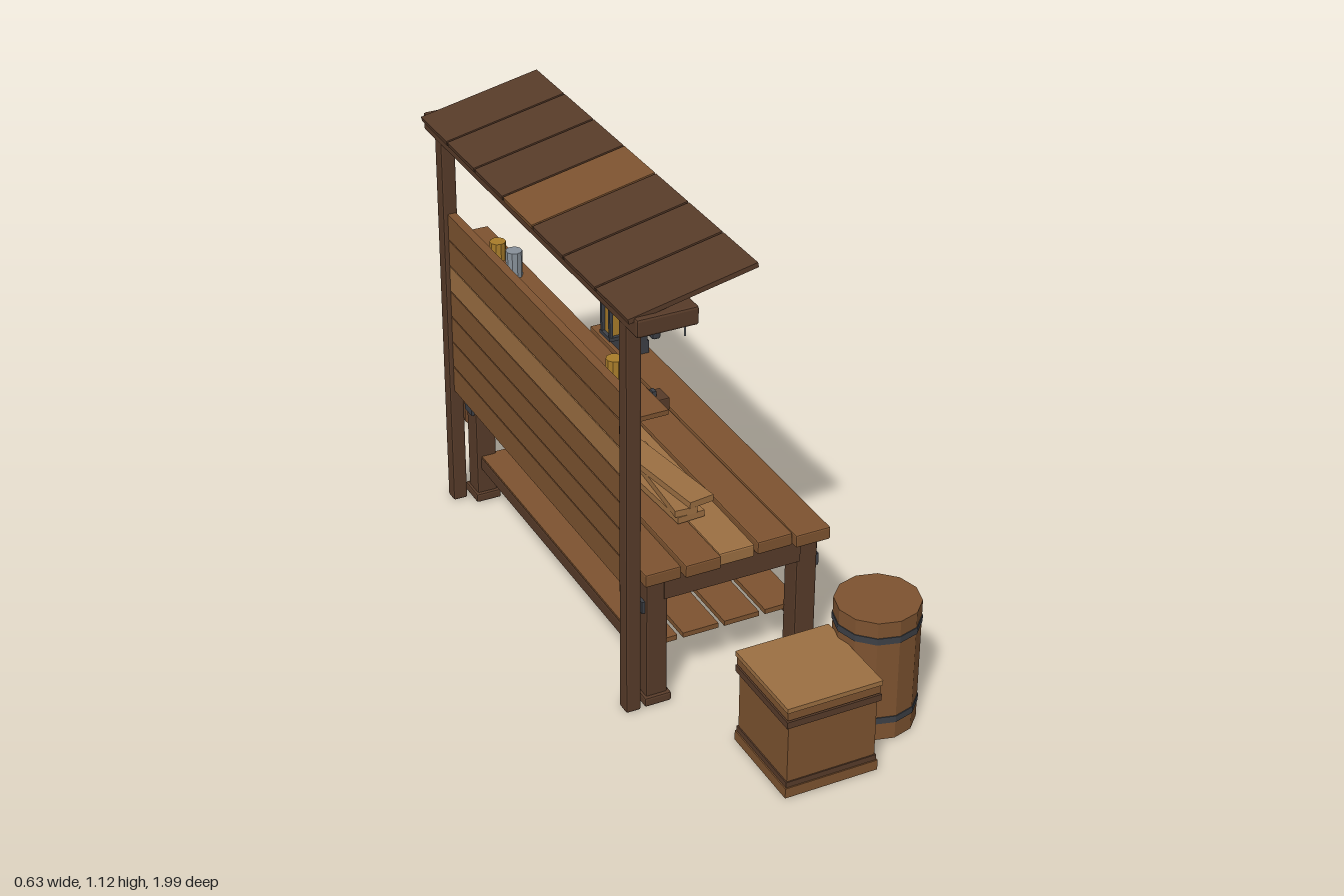
import * as THREE from 'three';
import { RoundedBoxGeometry } from 'three/addons/geometries/RoundedBoxGeometry.js';

const mat = (name, color) => {
  const m = new THREE.MeshStandardMaterial({ color });
  m.name = name;
  return m;
};

export function createModel() {
  const dark = mat('darkWood', 0x573b29);
  const mid = mat('midWood', 0x7d5330);
  const light = mat('lightWood', 0x9c6f42);
  const bark = mat('bark', 0x6b4529);
  const iron = mat('iron', 0x3c3f45);
  const steel = mat('steel', 0x88919a);
  const brass = mat('brass', 0xa87c2a);

  const model = new THREE.Group();
  const section = (name) => {
    const g = new THREE.Group();
    g.name = name;
    model.add(g);
    return g;
  };
  const put = (parent, name, geo, material, x, y, z) => {
    const m = new THREE.Mesh(geo, material);
    m.name = name;
    m.position.set(x, y, z);
    parent.add(m);
    return m;
  };
  // Box from its minimum and maximum on each axis; bevel chamfers the edges
  const box = (parent, name, material, [x0, x1], [y0, y1], [z0, z1], bevel = 0) => {
    const s = [x1 - x0, y1 - y0, z1 - z0];
    let geo;
    if (bevel) {
      geo = new RoundedBoxGeometry(...s, 1, bevel);
      geo.computeVertexNormals();
    } else geo = new THREE.BoxGeometry(...s);
    return put(parent, name, geo, material, (x0 + x1) / 2, (y0 + y1) / 2, (z0 + z1) / 2);
  };
  // Upright faceted cylinder standing at y0
  const cyl = (parent, name, material, x, z, y0, y1, r0, r1 = r0, sides = 12) => {
    let geo = new THREE.CylinderGeometry(r1, r0, y1 - y0, sides).toNonIndexed();
    geo.computeVertexNormals();
    return put(parent, name, geo, material, x, (y0 + y1) / 2, z);
  };

  // Back frame and canopy
  const frame = section('backFrame');
  for (const z of [0.545, -0.468]) box(frame, 'post', dark, [-0.3, -0.262], [0, 1.02], [z - 0.019, z + 0.019], 0.005);
  box(frame, 'roofBeam', dark, [-0.303, -0.155], [1.013, 1.058], [-0.548, 0.623], 0.006);
  for (let i = 0; i < 7; i++) {
    const s = box(frame, 'roofSlat', i === 3 ? mid : dark, [-0.319, -0.005], [1.077, 1.089], [-0.041 - 0.0785 + 0.571 - i * 0.163, 0.53 + 0.0785 - i * 0.163]);
    s.rotation.z = 0.208;
  }
  for (let i = 0; i < 7; i++) {
    const top = 0.822 - i * 0.0713;
    box(frame, 'backPlank', i === 2 ? light : mid, [-0.288, -0.266], [top - 0.068, top], [-0.455, 0.53]);
  }

  // Wall shelf with jars
  const shelf = section('wallShelf');
  box(shelf, 'shelfBoard', mid, [-0.264, -0.18], [0.749, 0.761], [-0.46, 0.53]);
  for (const z of [0.42, 0.165, -0.088, -0.34]) box(shelf, 'shelfBracket', iron, [-0.264, -0.227], [0.708, 0.749], [z - 0.005, z + 0.005]);
  for (const [z, h, m] of [[0.44, 0.07, brass], [0.353, 0.052, brass], [-0.195, 0.066, steel], [-0.292, 0.046, brass]])
    cyl(shelf, 'jar', m, -0.225, z, 0.761, 0.761 + h, 0.02, 0.02, 10);

  // Hanging lantern
  const lantern = section('lantern');
  const lx = -0.153, lz = 0.206;
  cyl(lantern, 'cord', iron, lx, lz, 0.872, 1.013, 0.002, 0.002, 6);
  for (const y of [0.78, 0.863]) box(lantern, 'lanternPlate', iron, [lx - 0.026, lx + 0.026], [y, y + 0.009], [lz - 0.026, lz + 0.026]);
  box(lantern, 'lanternGlow', brass, [lx - 0.017, lx + 0.017], [0.789, 0.863], [lz - 0.017, lz + 0.017]);
  for (const dx of [-0.021, 0.021]) for (const dz of [-0.021, 0.021])
    box(lantern, 'lanternBar', iron, [lx + dx - 0.004, lx + dx + 0.004], [0.789, 0.863], [lz + dz - 0.004, lz + dz + 0.004]);

  // Tools hung on the back wall
  const tools = section('wallTools');
  box(tools, 'hammerHead', iron, [-0.264, -0.244], [0.616, 0.64], [0.362, 0.43]);
  box(tools, 'hammerHandle', mid, [-0.26, -0.248], [0.472, 0.616], [0.39, 0.402]);
  box(tools, 'sawBlade', steel, [-0.258, -0.254], [0.526, 0.578], [0.056, 0.23]);
  for (const y of [0.524, 0.578]) box(tools, 'sawHandleRail', mid, [-0.263, -0.246], [y, y + 0.01], [0.226, 0.27]);
  for (const z of [0.226, 0.26]) box(tools, 'sawHandleGrip', mid, [-0.263, -0.246], [0.534, 0.578], [z, z + 0.01]);
  for (const a of [-1, 1]) {
    const arm = box(tools, 'tongArm', iron, [-0.256 + a * 0.003, -0.25 + a * 0.003], [0.446, 0.656], [-0.093, -0.085]);
    arm.rotation.x = a * 0.13;
  }
  cyl(tools, 'ladleHandle', steel, -0.253, -0.282, 0.473, 0.625, 0.005, 0.005, 6);
  const bowl = cyl(tools, 'ladleBowl', steel, -0.253, -0.282, 0.628, 0.638, 0.019, 0.019, 10);
  bowl.rotation.z = Math.PI / 2;
  const peg = cyl(tools, 'ropePeg', mid, -0.242, -0.404, 0.58, 0.625, 0.005, 0.005, 6);
  peg.rotation.z = Math.PI / 2;
  for (let i = 0; i < 3; i++) {
    const ring = put(tools, 'ropeCoil', new THREE.TorusGeometry(0.043 - i * 0.004, 0.005, 6, 16), i === 1 ? light : mid, -0.256 + i * 0.006, 0.553 - i * 0.003, -0.404 + i * 0.002);
    ring.rotation.y = Math.PI / 2;
  }

  // Workbench
  const bench = section('workbench');
  const tops = [[-0.215, 0.58, -0.515, 0], [-0.118, 0.585, -0.52, 0.003], [-0.023, 0.575, -0.505, -0.006], [0.072, 0.572, -0.524, 0.004], [0.167, 0.587, -0.518, -0.003]];
  tops.forEach(([x, z1, z0, turn], i) => {
    box(bench, 'topPlank', i === 2 ? light : mid, [x - 0.045, x + 0.045], [0.345, 0.378], [z0, z1], 0.004).rotation.y = turn;
  });
  for (const x of [-0.217, 0.17]) {
    const out = Math.sign(x);
    for (const z of [0.524, -0.45]) {
      box(bench, 'leg', dark, [x - 0.027, x + 0.027], [0.01, 0.345], [z - 0.029, z + 0.029], 0.005);
      box(bench, 'foot', dark, [x - 0.034, x + 0.034], [0, 0.024], [z - 0.038, z + 0.038], 0.005);
      const bx = x + out * 0.03;
      box(bench, 'legBracket', iron, [bx - 0.005, bx + 0.005], [0.252, 0.283], [z - 0.022, z + 0.022]);
    }
    box(bench, 'longApron', dark, [x - 0.015, x + 0.03], [0.283, 0.345], [-0.472, 0.545]);
    box(bench, 'stretcher', dark, [x - 0.015, x + 0.015], [0.09, 0.126], [-0.425, 0.5], 0.004);
  }
  for (const z of [0.524, -0.45]) box(bench, 'endApron', dark, [-0.2, 0.15], [0.283, 0.345], [z - 0.015, z + 0.032]);
  for (let i = 0; i < 4; i++) {
    const x = -0.184 + i * 0.1075;
    box(bench, 'lowerShelfPlank', mid, [x - 0.046, x + 0.046], [0.117, 0.13], [-0.43, 0.5]);
  }

  // Loose boards and block plane on the bench
  const loose = section('benchItems');
  [[-0.075, 0.385, 0.07, 0.06], [-0.068, 0.402, 0.055, -0.07], [-0.06, 0.418, 0.065, 0.14]].forEach(([x, y, w, turn]) => {
    box(loose, 'stackedBoard', light, [x - w / 2, x + w / 2], [y - 0.004, y + 0.013], [0.115, 0.425]).rotation.y = turn;
  });
  box(loose, 'planeBody', dark, [0.043, 0.117], [0.378, 0.413], [-0.1, -0.045], 0.003);
  for (const x of [0.068, 0.084]) box(loose, 'planeWedge', iron, [x - 0.005, x + 0.005], [0.41, 0.428], [-0.082, -0.064]);

  // Vise
  const vise = section('vise');
  box(vise, 'viseBase', iron, [0.135, 0.199], [0.378, 0.413], [-0.415, -0.325]);
  box(vise, 'viseBody', iron, [0.138, 0.194], [0.413, 0.47], [-0.368, -0.325]);
  box(vise, 'viseJaw', iron, [0.209, 0.233], [0.41, 0.47], [-0.366, -0.324], 0.006);
  cyl(vise, 'viseScrew', steel, 0.251, -0.343, 0.377, 0.497, 0.005, 0.005, 8).rotation.z = Math.PI / 2;
  vise.children.at(-1).position.y = 0.437;
  cyl(vise, 'viseHandle', steel, 0.311, -0.343, 0.39, 0.48, 0.003, 0.003, 6);

  // Crate
  const crate = section('crate');
  box(crate, 'crateBody', mid, [-0.116, 0.106], [0, 0.215], [0.763, 0.987]);
  for (const [y0, y1, g, m] of [[0, 0.026, 0.006, mid], [0.026, 0.04, 0.003, dark], [0.19, 0.207, 0.007, dark], [0.21, 0.232, 0.005, mid], [0.232, 0.244, 0.008, light]])
    box(crate, 'crateBand', m, [-0.116 - g, 0.106 + g], [y0, y1], [0.763 - g, 0.987 + g]);

  // Barrel
  const barrel = section('barrel');
  cyl(barrel, 'barrelBody', mid, 0.206, 0.811, 0, 0.32, 0.1);
  for (const y of [0.045, 0.263]) cyl(barrel, 'barrelHoop', iron, 0.206, 0.811, y, y + 0.017, 0.102);

  // Anvil on its stump
  const anvil = section('anvilStump');
  const ax = 0.016, az = -0.805;
  cyl(anvil, 'stump', bark, ax, az, 0, 0.257, 0.134, 0.12);
  cyl(anvil, 'stumpTop', light, ax, az, 0.254, 0.26, 0.108);
  box(anvil, 'anvilBase', iron, [ax - 0.07, ax + 0.07], [0.26, 0.3], [-0.852, -0.767]);
  box(anvil, 'anvilWaist', iron, [ax - 0.03, ax + 0.03], [0.3, 0.347], [-0.828, -0.788]);
  box(anvil, 'anvilBody', iron, [ax - 0.045, ax + 0.045], [0.345, 0.389], [-0.89, -0.714]);
  box(anvil, 'anvilFace', steel, [ax - 0.045, ax + 0.045], [0.389, 0.397], [-0.89, -0.714]);
  box(anvil, 'anvilHeel', iron, [ax - 0.027, ax + 0.027], [0.352, 0.388], [-0.714, -0.668]);
  const horn = cyl(anvil, 'anvilHorn', iron, ax, -0.942, 0.315, 0.43, 0.032, 0.002, 8);
  horn.rotation.x = -Math.PI / 2;
  return model;
}
